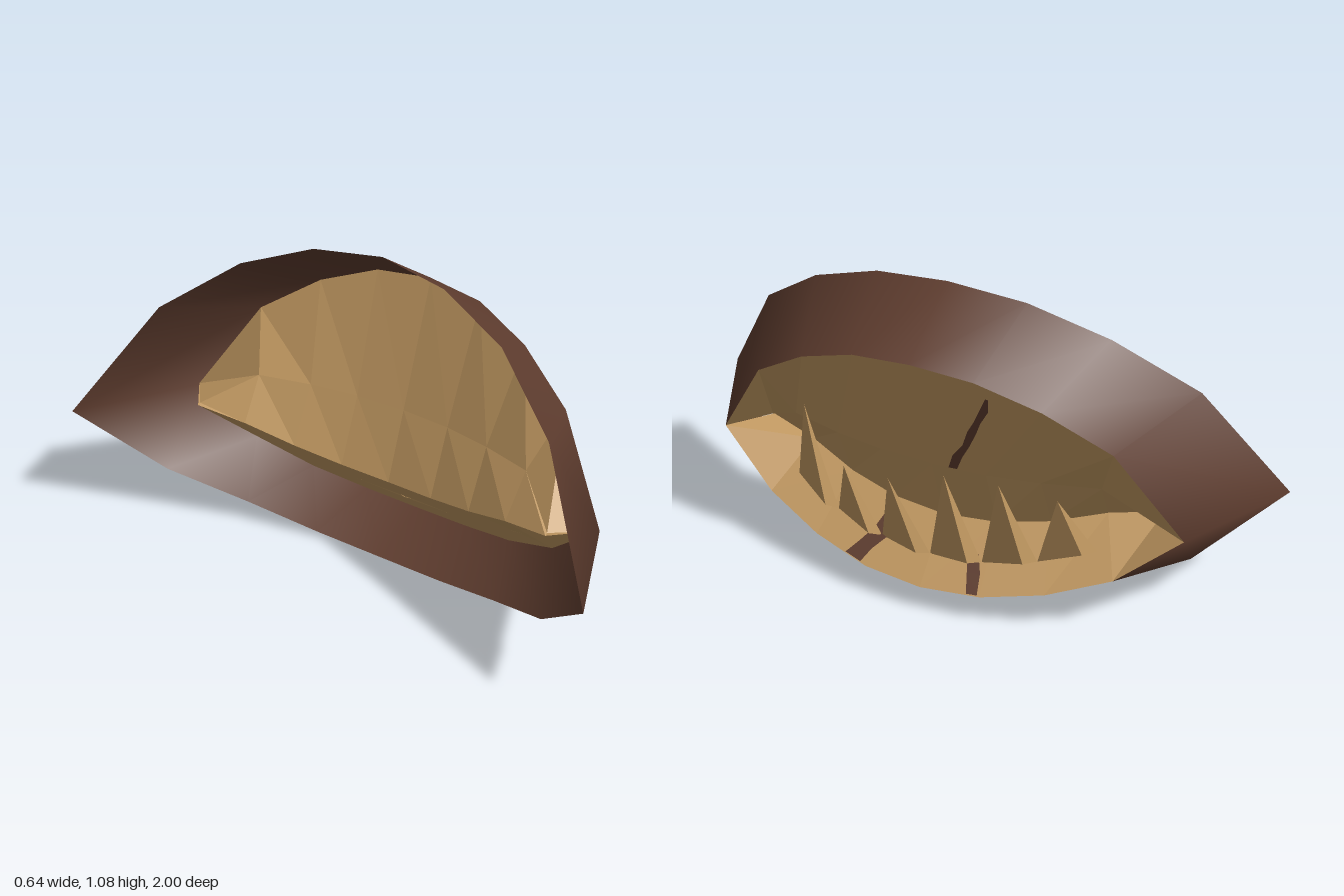
import * as THREE from 'three';

const material = (name, color) =>
  new THREE.MeshStandardMaterial({ name, color, side: THREE.DoubleSide });

// Mirror a half row (tip to middle, z > 0) into a full row from +z to -z
const fullRow = (half) => [
  ...half,
  ...half.slice(0, -1).reverse().map(([x, y, z]) => [x, y, -z]),
];

// Surface between rows of equal length; flat rows get one normal per face
function loft(rows, flat) {
  const n = rows[0].length;
  const index = [];
  for (let r = 0; r < rows.length - 1; r++)
    for (let i = 0; i < n - 1; i++) {
      const a = r * n + i, b = a + 1, c = a + n, d = c + 1;
      index.push(a, c, b, b, c, d);
    }
  let g = new THREE.BufferGeometry();
  g.setAttribute('position', new THREE.Float32BufferAttribute(rows.flat(2), 3));
  g.setIndex(index);
  if (flat) g = g.toNonIndexed();
  g.computeVertexNormals();
  return g;
}

// Point on the sheet between two rows: height fraction v at a given z
function pointAt(rowA, rowB, z, v) {
  const mix = rowA.map((p, i) => p.map((c, k) => c + (rowB[i][k] - c) * v));
  let i = 0;
  while (i < mix.length - 2 && mix[i + 1][2] > z) i++;
  const t = (z - mix[i][2]) / (mix[i + 1][2] - mix[i][2]);
  return mix[i].map((c, k) => c + (mix[i + 1][k] - c) * t);
}

export function createModel() {
  const group = new THREE.Group();
  const brown = material('darkBrown', 0x5f3d2f);
  const tan = material('tan', 0xc39a62);
  const add = (name, geometry, mat, parent = group) => {
    const mesh = new THREE.Mesh(geometry, mat);
    mesh.name = name;
    parent.add(mesh);
    return mesh;
  };

  // Rear and front edges of the rim, upper and lower halves
  const rearTop = fullRow([[-0.32, 0.385, 1], [-0.14, 0.77, 0.75], [-0.02, 0.95, 0.5], [0.04, 1.045, 0.25], [0.065, 1.075, 0]]);
  const rearLow = fullRow([[-0.32, 0.385, 1], [-0.14, 0.17, 0.75], [-0.02, 0.075, 0.5], [0.04, 0.02, 0.25], [0.065, 0, 0]]);
  const frontTop = fullRow([[0.09, 0.385, 0.8], [0.19, 0.69, 0.6], [0.26, 0.82, 0.4], [0.305, 0.895, 0.2], [0.32, 0.915, 0]]);
  const frontLow = fullRow([[0.09, 0.385, 0.8], [0.15, 0.22, 0.6], [0.21, 0.145, 0.4], [0.255, 0.105, 0.2], [0.27, 0.093, 0]]);

  // Smooth almond-shaped rim
  const ring = (top, low) => [...top, ...low.slice(0, -1).reverse()];
  const rim = loft([ring(rearTop, rearLow), ring(frontTop, frontLow)], false);
  const normals = rim.attributes.normal;
  const n = normals.count / 2;
  for (const r of [0, n]) { // close the seam in the shading
    const a = new THREE.Vector3().fromBufferAttribute(normals, r);
    a.add(new THREE.Vector3().fromBufferAttribute(normals, r + n - 1)).normalize();
    normals.setXYZ(r, a.x, a.y, a.z);
    normals.setXYZ(r + n - 1, a.x, a.y, a.z);
  }
  add('rim', rim, brown);

  // Faceted inner wall and sloping floor
  const wallMid = fullRow([[-0.03, 0.395, 0.69], [0.09, 0.5, 0.53], [0.14, 0.5, 0.35], [0.17, 0.5, 0.18], [0.18, 0.5, 0]]);
  const wallBase = fullRow([[-0.04, 0.39, 0.69], [0, 0.36, 0.52], [0.05, 0.31, 0.35], [0.085, 0.28, 0.18], [0.1, 0.27, 0]]);
  add('innerWall', loft([frontTop, wallMid, wallBase], true), tan);
  add('floor', loft([wallBase, frontLow], true), tan);

  // Six leaning teeth along the floor: [tip x, tip y, centre z]
  const teeth = new THREE.Group();
  teeth.name = 'teeth';
  group.add(teeth);
  const foot = (z) => {
    const a = Math.abs(z);
    return [0.19 - 0.36 * a * a, 0.172 + 0.37 * a * a, z];
  };
  const tips = [[0.19, 0.61, 0.44], [0.26, 0.465, 0.265], [0.3, 0.49, 0.09],
    [0.27, 0.53, -0.085], [0.255, 0.535, -0.26], [0.21, 0.5, -0.435]];
  tips.forEach((tip) => {
    const z = tip[2];
    const left = foot(z + 0.087);
    const right = foot(z - 0.087);
    const f = foot(z - 0.06);
    const b = foot(z + 0.04);
    const front = [f[0] + 0.045, f[1] + 0.02, f[2]];
    const back = [b[0] - 0.015, b[1] + 0.03, b[2]];
    const base = [left, front, right, back];
    const faces = base.flatMap((p, i) => [p, base[(i + 1) % 4], tip]);
    faces.push(left, right, front, left, back, right);
    const g = new THREE.BufferGeometry();
    g.setAttribute('position', new THREE.Float32BufferAttribute(faces.flat(), 3));
    g.computeVertexNormals();
    add('tooth', g, tan, teeth);
  });

  // Jagged cracks laid just over the surfaces: [z, height fraction, half width]
  const crack = (name, rowA, rowB, path, lift) => {
    const side = (s) => path.map(([z, v, w]) => {
      const p = pointAt(rowA, rowB, z + s * w, v);
      return [p[0] + lift, p[1] + lift * 0.6, p[2]];
    });
    add(name, loft([side(1), side(-1)], true), brown);
  };
  crack('wallCrack', frontTop, wallMid,
    [[-0.235, 0.12, 0.004], [-0.22, 0.26, 0.012], [-0.19, 0.42, 0.01], [-0.165, 0.55, 0.014],
      [-0.135, 0.72, 0.011], [-0.1, 0.85, 0.016], [-0.075, 1, 0.014]], 0.008);
  crack('floorCrackLeft', frontLow, wallBase,
    [[0.25, 0.02, 0.03], [0.22, 0.25, 0.025], [0.18, 0.5, 0.03], [0.17, 0.85, 0.01]], 0.006);
  crack('floorCrackRight', frontLow, wallBase,
    [[-0.175, 0.02, 0.018], [-0.16, 0.3, 0.022], [-0.14, 0.55, 0.018]], 0.006);

  return group;
}
